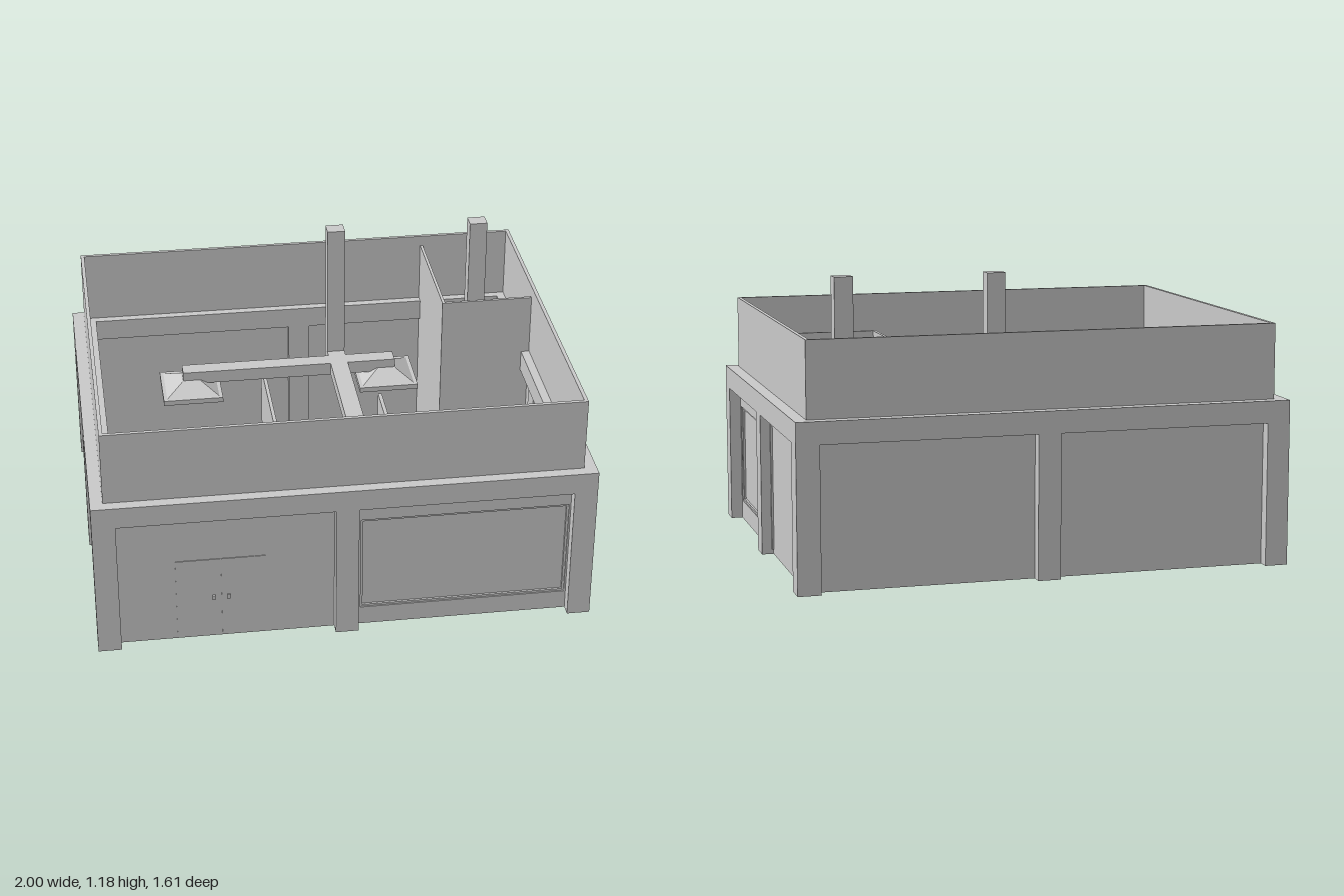
import * as THREE from 'three';

export function createModel() {
  const model = new THREE.Group();
  const grey = new THREE.MeshStandardMaterial({ color: 0xcccccc, side: THREE.DoubleSide });
  grey.name = 'plain grey';

  const add = (parent, name, geometry) => {
    const mesh = new THREE.Mesh(geometry, grey);
    mesh.name = name;
    parent.add(mesh);
    return mesh;
  };
  // Box from its minimum and maximum corners
  const box = (parent, name, x0, x1, y0, y1, z0, z1) => {
    const mesh = add(parent, name, new THREE.BoxGeometry(x1 - x0, y1 - y0, z1 - z0));
    mesh.position.set((x0 + x1) / 2, (y0 + y1) / 2, (z0 + z1) / 2);
    return mesh;
  };
  const rect = (Type, x0, x1, y0, y1) => new Type([
    new THREE.Vector2(x0, y0), new THREE.Vector2(x1, y0),
    new THREE.Vector2(x1, y1), new THREE.Vector2(x0, y1)]);
  // Rectangular ring lying flat between two heights
  const ring = (name, ox, oz, ix, iz, y0, y1) => {
    const shape = rect(THREE.Shape, -ox, ox, -oz, oz);
    shape.holes.push(rect(THREE.Path, -ix, ix, -iz, iz));
    const mesh = add(model, name, new THREE.ExtrudeGeometry(shape, { depth: y1 - y0, bevelEnabled: false }));
    mesh.rotation.x = -Math.PI / 2;
    mesh.position.y = y0;
  };

  // Shell: floor, lintel ring and parapet
  box(model, 'floor', -0.93, 0.93, 0, 0.012, -0.74, 0.74);
  ring('lintelRing', 1, 0.805, 0.9, 0.71, 0.58, 0.67);
  ring('parapet', 0.95, 0.76, 0.935, 0.745, 0.67, 0.975);

  // Corner pillars
  for (const sx of [-1, 1]) for (const sz of [-1, 1]) {
    const p = add(model, 'cornerPillar', new THREE.BoxGeometry(0.093, 0.58, 0.092));
    p.position.set(sx * 0.9535, 0.29, sz * 0.759);
  }

  // Four sides, each drawn facing +z and turned into place: middle pillar and two recessed bays
  const sides = [
    { name: 'front', turn: 0, half: 0.907, dist: 0.805, windows: [[0.06, 0.9]] },
    { name: 'back', turn: Math.PI, half: 0.907, dist: 0.805, windows: [] },
    { name: 'right', turn: Math.PI / 2, half: 0.713, dist: 1, windows: [[-0.7, -0.07]] },
    { name: 'left', turn: -Math.PI / 2, half: 0.713, dist: 1, windows: [[0.32, 0.68]] },
  ];
  for (const { name, turn, half, dist, windows } of sides) {
    const side = new THREE.Group();
    side.name = name + 'Side';
    side.rotation.y = turn;
    model.add(side);
    box(side, 'middlePillar', -0.046, 0.046, 0, 0.58, dist - 0.095, dist);
    const wall = rect(THREE.Shape, -half, half, 0, 0.58);
    for (const [a, b] of windows) {
      wall.holes.push(rect(THREE.Path, a, b, 0.08, 0.5));
      box(side, 'windowPane', a, b, 0.08, 0.5, dist - 0.067, dist - 0.062);
      // Slim border inside the opening
      const frame = rect(THREE.Shape, a, b, 0.08, 0.5);
      frame.holes.push(rect(THREE.Path, a + 0.009, b - 0.009, 0.089, 0.491));
      add(side, 'windowFrame', new THREE.ExtrudeGeometry(frame, { depth: 0.009, bevelEnabled: false }))
        .position.z = dist - 0.062;
    }
    add(side, 'bayWall', new THREE.ExtrudeGeometry(wall, { depth: 0.02, bevelEnabled: false }))
      .position.z = dist - 0.068;
  }
  // Edge strip in the rear bay of the right side
  box(model, 'edgeStrip', 0.951, 0.96, 0.02, 0.575, -0.056, -0.046);

  // Double entrance door
  for (const s of [-1, 1]) {
    const door = box(model, 'doorLeaf', -0.089, 0.089, 0.005, 0.37, 0.756, 0.76);
    door.position.x = -0.5 + s * 0.0905;
    const handle = box(model, 'doorHandle', -0.006, 0.006, 0.18, 0.2, 0.76, 0.768);
    handle.position.x = -0.5 + s * 0.03;
  }

  // Interior partitions and the tall enclosed corner room
  box(model, 'longPartition', -0.195, -0.18, 0.012, 0.5, -0.5, 0.46);
  box(model, 'crossPartition', -0.18, 0.905, 0.012, 0.5, 0.005, 0.018);
  box(model, 'rearPartition', 0.28, 0.296, 0.012, 0.5, -0.21, 0.005);
  box(model, 'frontPartition', 0.655, 0.67, 0.012, 0.5, 0.018, 0.38);
  box(model, 'roomSideWall', 0.55, 0.562, 0.012, 0.93, -0.745, -0.195);
  box(model, 'roomFrontWall', 0.562, 0.934, 0.012, 0.93, -0.207, -0.195);

  // Low platform with an L-shaped step on it
  box(model, 'platform', -0.9, -0.39, 0.012, 0.03, -0.705, 0.28);
  box(model, 'stepSide', -0.9, -0.56, 0.03, 0.06, -0.575, 0.11);
  box(model, 'stepBack', -0.9, -0.4, 0.03, 0.06, -0.705, -0.575);

  // Extractor hoods: flat rim, sloped cap
  const hood = (x, z) => {
    const g = new THREE.Group();
    g.name = 'extractorHood';
    g.position.set(x, 0, z);
    model.add(g);
    box(g, 'hoodRim', -0.127, 0.127, 0.5, 0.522, -0.127, 0.127);
    const cap = add(g, 'hoodCap', new THREE.CylinderGeometry(0.04 * Math.SQRT2, 0.112 * Math.SQRT2, 0.04, 4)
      .rotateY(Math.PI / 4).toNonIndexed());
    cap.geometry.computeVertexNormals();
    cap.position.y = 0.542;
  };
  for (const [x, z] of [[-0.515, -0.357], [0.332, -0.357], [-0.515, 0.37], [0.482, 0.25], [0.742, -0.456]]) hood(x, z);

  // Ducts joining the hoods, and two stacks
  const y0 = 0.545, y1 = 0.6;
  box(model, 'mainDuct', 0.09, 0.165, y0, y1, -0.46, 0.405);
  box(model, 'rearDuctLeft', -0.55, 0.09, y0, y1, -0.395, -0.325);
  box(model, 'rearDuctRight', 0.165, 0.37, y0, y1, -0.395, -0.325);
  box(model, 'frontDuctLeft', -0.55, 0.09, y0, y1, 0.33, 0.403);
  box(model, 'frontDuctRight', 0.165, 0.52, y0, y1, 0.21, 0.283);
  box(model, 'mainStack', 0.09, 0.165, y0, 1.18, -0.495, -0.46);
  box(model, 'mainStackFront', 0.09, 0.165, y1, 1.18, -0.46, -0.43);
  box(model, 'roomStack', 0.705, 0.78, 0.56, 1.18, -0.49, -0.425);

  return model;
}
